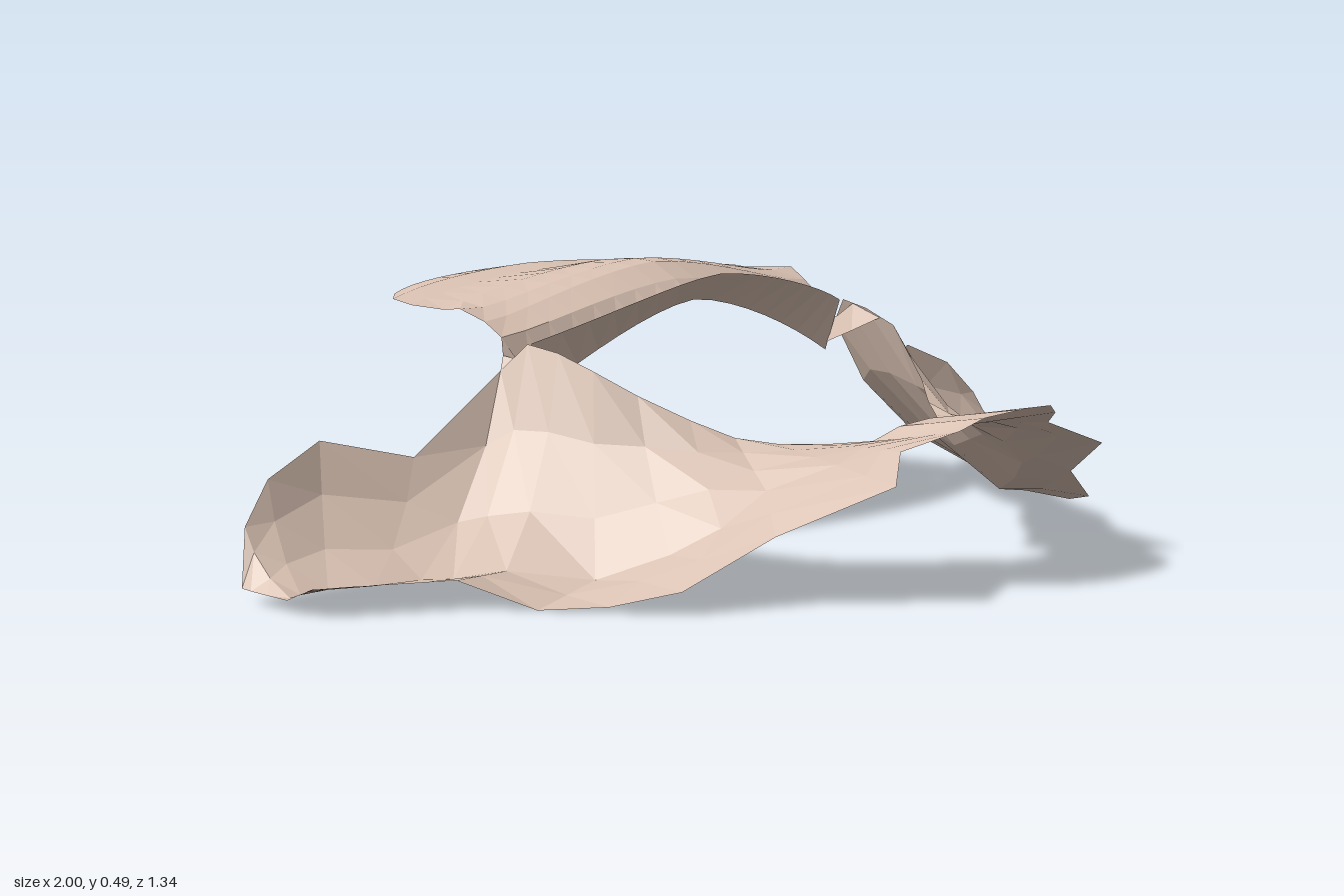
import * as THREE from 'three';

const cloth = new THREE.MeshStandardMaterial({ color: 0xdac2b3, side: THREE.DoubleSide, flatShading: true });
cloth.name = 'beige cloth';

const { lerp, smoothstep } = THREE.MathUtils;

// Skin a grid of cross-sections; side = -1 builds the mirrored half
function loft(rows, side, name) {
  const n = rows[0].length, pos = [], idx = [];
  rows.forEach(r => r.forEach(p => pos.push(p.x * side, p.y, p.z)));
  for (let i = 0; i < rows.length - 1; i++) {
    for (let j = 0; j < n - 1; j++) {
      const a = i * n + j, b = a + 1, c = a + n, d = c + 1;
      if (side > 0) idx.push(a, c, b, b, c, d);
      else idx.push(a, b, c, b, d, c);
    }
  }
  const g = new THREE.BufferGeometry();
  g.setAttribute('position', new THREE.Float32BufferAttribute(pos, 3));
  g.setIndex(idx);
  g.computeVertexNormals();
  const m = new THREE.Mesh(g, cloth);
  m.name = name;
  return m;
}

const between = (a, b, t, ty = t) =>
  new THREE.Vector3(lerp(a.x, b.x, t), lerp(a.y, b.y, ty), lerp(a.z, b.z, t));

// Inner and outer edge of the collar, from front centre to wing tip
const innerEdge = [
  [0, .27, .465], [.065, .262, .45], [.08, .23, .4], [.15, .23, .36], [.21, .23, .3], [.26, .24, .24],
  [.31, .27, .18], [.36, .31, .1], [.4, .35, .03], [.41, .375, -.05], [.42, .385, -.12],
  [.445, .335, -.165], [.63, .2, -.187], [.78, .24, -.26], [.9, .19, -.25], [.965, .12, -.23], [1, .025, -.195],
];
const outerEdge = [
  [0, .31, .67], [.09, .305, .66], [.13, .285, .64], [.2, .25, .57], [.28, .21, .63], [.4, .12, .47],
  [.55, .04, .4], [.62, .01, .3], [.69, 0, .2], [.78, .05, .1], [.85, .05, .06],
  [.9, .05, .03], [.93, .05, .01], [.96, .05, -.005], [.98, .05, -.015], [.985, .05, -.018], [.988, .05, -.02],
];

// The flat front band deepens into a trough with a steep wall and a low lip
function collarRow(inner, i) {
  const a = new THREE.Vector3(...inner), c = new THREE.Vector3(...outerEdge[i]);
  const w = smoothstep(i, 4, 10), bend = Math.sin(Math.PI * w);
  const valley = between(a, c, .5 + .15 * w, .5 + .5 * w);
  valley.add(new THREE.Vector3(-.045 * bend, -.028 * w, .07 * bend));
  valley.y = Math.max(valley.y, .02);
  const upper = between(a, valley, .28 - .08 * w, .28 + .12 * w);
  const lower = between(a, valley, .62 - .06 * w, .62 + .15 * w);
  return [a, upper, lower, valley, between(valley, c, .5), c];
}

// Narrow twisted strip joining the shoulder to the canopy
const neck = [
  [[.405, .36, -.01], [.415, .38, -.09], [.445, .335, -.165]],
  [[.39, .33, -.07], [.41, .35, -.13], [.43, .36, -.175]],
  [[.39, .3, -.14], [.405, .35, -.165], [.42, .39, -.19]],
];

// Canopy, front lip to rear hem: centre y, z; side x, y, z; raised ear at the side
const canopy = [
  [.48, -.05, .41, .385, -.12, 0],
  [.425, -.12, .39, .285, -.14, 0],
  [.46, -.17, .42, .38, -.19, .01],
  [.488, -.23, .425, .4, -.23, .015],
  [.49, -.28, .44, .41, -.28, .025],
  [.48, -.37, .42, .425, -.35, 0],
  [.455, -.5, .43, .427, -.43, 0],
  [.455, -.59, .4, .427, -.52, 0],
  [.44, -.672, .34, .425, -.59, 0],
];

// Each row arches down from the centre and curves round towards the side
function canopyRow([cy, cz, sx, sy, sz, ear]) {
  return Array.from({ length: 9 }, (_, j) => {
    const t = j / 8;
    return new THREE.Vector3(sx * t, lerp(cy, sy, t ** 1.5) + ear * t ** 8, lerp(cz, sz, t ** 3));
  });
}

export function createModel() {
  const model = new THREE.Group();
  model.name = 'clothCollar';
  const collarRows = innerEdge.map(collarRow);
  const neckRows = neck.map(r => r.map(p => new THREE.Vector3(...p)));
  const canopyRows = canopy.map(canopyRow);
  for (const [side, label] of [[1, 'left'], [-1, 'right']]) {
    model.add(loft(collarRows, side, label + 'CollarAndShoulder'));
    model.add(loft(neckRows, side, label + 'Neck'));
    model.add(loft(canopyRows, side, label + 'BackCanopy'));
  }
  return model;
}
